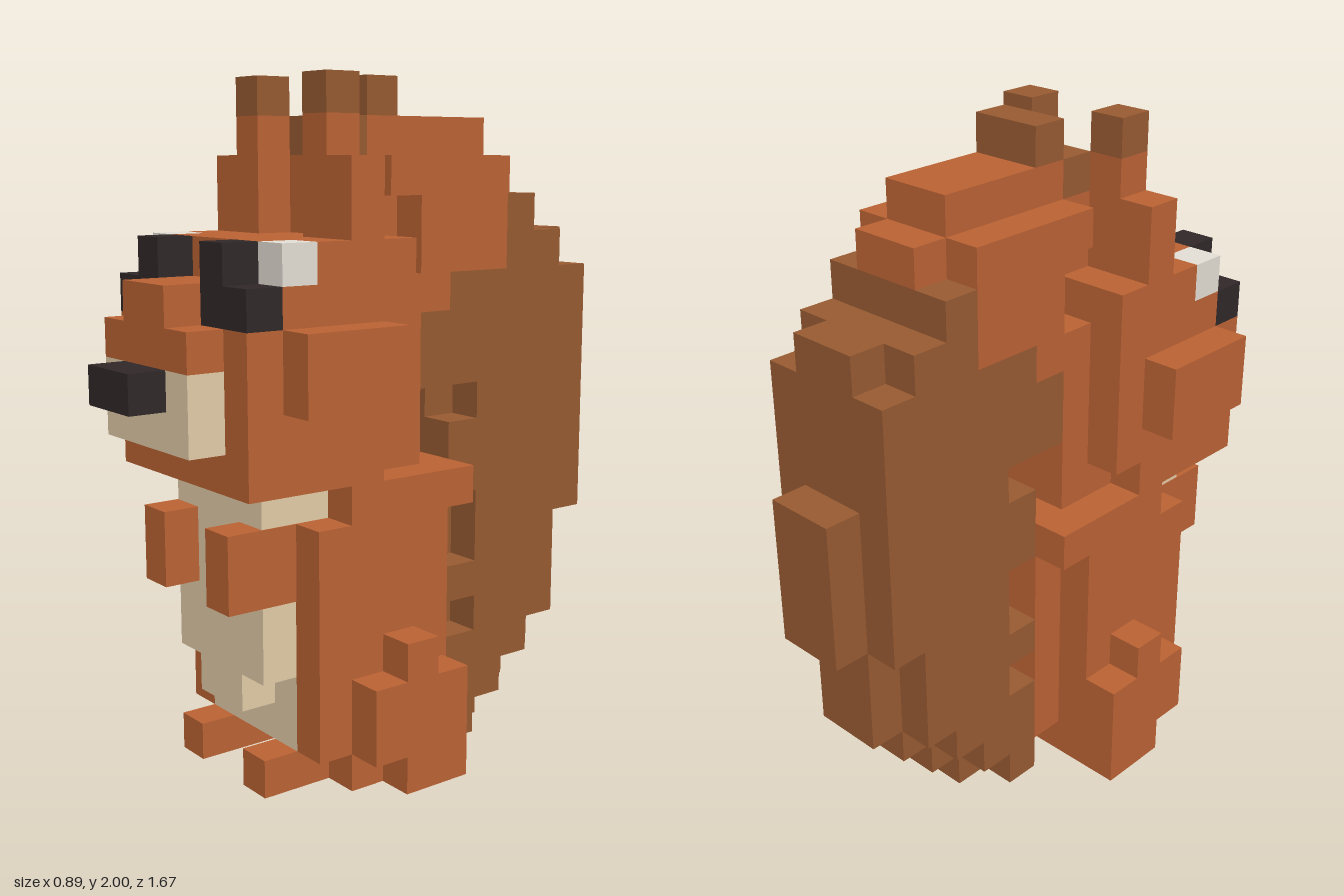
import * as THREE from 'three';

// One block is 1/9 unit; all coordinates below are in blocks.
const U = 1 / 9;

function material(name, color) {
  const m = new THREE.MeshStandardMaterial({ color });
  m.name = name;
  return m;
}

export function createModel() {
  const model = new THREE.Group();
  model.name = 'squirrel';
  const orange = material('orange fur', 0xbc6334);
  const brown = material('brown fur', 0x985b32);
  const cream = material('cream fur', 0xe4cda9);
  const dark = material('dark', 0x302829);
  const white = material('eye white', 0xe5e0d6);

  function box(name, mat, x0, x1, y0, y1, z0, z1) {
    const geo = new THREE.BoxGeometry((x1 - x0) * U, (y1 - y0) * U, (z1 - z0) * U);
    const mesh = new THREE.Mesh(geo, mat);
    mesh.name = name;
    mesh.position.set((x0 + x1) / 2 * U, (y0 + y1) / 2 * U, (z0 + z1) / 2 * U);
    model.add(mesh);
  }
  // Box centred on x = 0 with half width w
  const mid = (name, mat, w, ...r) => box(name, mat, -w, w, ...r);
  // Mirrored pair of boxes
  const pair = (name, mat, x0, x1, ...r) => {
    box(name + 'Left', mat, x0, x1, ...r);
    box(name + 'Right', mat, -x1, -x0, ...r);
  };

  // Body with cream belly
  mid('body', orange, 2, 1, 8, -1.5, 2.5);
  pair('flank', orange, 2, 3, 1, 7, -0.5, 3.5);
  pair('shoulder', orange, 2, 3, 7, 8, -1.5, 2.5);
  mid('bellyBase', cream, 2, 1, 8, 2.5, 3.5);
  mid('belly', cream, 2, 3, 8, 3.5, 4.5);
  mid('bellyLower', cream, 1, 2, 3, 3.5, 4.5);
  pair('arm', orange, 1, 2, 5, 7, 4.5, 5.5);
  pair('armSide', orange, 2, 2.03, 5, 7, 3.5, 5.5);

  // Legs and feet
  pair('foot', orange, 1, 2, 0, 1, -0.5, 4.5);
  pair('heel', orange, 2, 3, 0, 1, -0.5, 2.5);
  pair('ankle', orange, 3, 4, 0, 1, -0.5, 1.5);
  pair('thigh', orange, 3, 4, 1, 3, -0.5, 2.5);
  pair('thighTop', orange, 3, 4, 3, 4, 0.5, 1.5);

  // Head
  mid('neck', orange, 2, 8, 13, -0.5, 1.5);
  mid('chin', orange, 3, 8, 9, 1.5, 5.5);
  mid('head', orange, 3, 9, 12, 0.5, 5.5);
  mid('brow', orange, 3, 12, 13, 0.5, 4.5);
  mid('crown', orange, 2, 13, 14, 0.5, 4.5);
  pair('temple', orange, 2, 3, 13, 14, 0.5, 3.5);
  pair('cheek', orange, 3, 4, 10, 12, 1.5, 4.5);
  mid('noseBridge', orange, 1, 12, 13, 4.5, 6.5);
  mid('muzzleTop', orange, 2, 11, 12, 5.5, 6.5);
  mid('muzzle', cream, 2, 9, 11, 5.5, 6.5);
  mid('nose', dark, 1, 10, 11, 6.5, 7.5);

  // Eyes
  pair('eyeLower', dark, 1, 3, 12, 13, 4.5, 5.5);
  pair('eyeUpper', dark, 1, 2, 13, 14, 4.5, 5.5);
  pair('eyeWhite', white, 2, 3, 13, 14, 3.5, 4.5);

  // Ears
  pair('ear', orange, 1, 2, 14, 17, 1.5, 2.5);
  pair('earSide', orange, 2, 3, 14, 16, 1.5, 2.5);
  pair('earTip', brown, 1, 2, 17, 18, 1.5, 2.5);

  // Tail, slice by slice; each slice ends one block lower in its middle
  mid('tailRoot', brown, 1, 0, 1, -1.5, -0.5);
  mid('tailInner', brown, 1, 0, 13, -2.5, -1.5);
  for (const [y0, y1] of [[0, 3], [4, 5], [7, 9], [10, 13]])
    pair('tailInnerEdge', brown, 1, 2, y0, y1, -2.5, -1.5);
  mid('tailNeck', brown, 2, 10, 12, -1.5, -0.5);
  for (const [bottom, step, top, z] of [[0, 1, 13, -3.5], [1, 2, 15, -4.5], [2, 3, 14, -5.5], [3, 6, 13, -6.5]]) {
    mid('tail', brown, 2, step, top, z, z + 1);
    mid('tailUnderside', brown, 1, bottom, step, z, z + 1);
  }
  mid('tailBackTop', brown, 1, 13, 14, -6.5, -5.5);
  mid('tailBack', brown, 1, 6, 10, -7.5, -6.5);

  // Tail curling over the head
  mid('curlBase', orange, 2, 12, 13, -1.5, -0.5);
  mid('curl', orange, 2, 13, 15, -3.5, -0.5);
  mid('curlUpper', orange, 2, 15, 16, -3.5, 0.5);
  mid('curlTop', orange, 1, 16, 17, -3.5, 0.5);
  mid('curlBack', orange, 1, 15, 16, -4.5, -3.5);
  mid('curlInner', orange, 1, 13, 15, -0.5, 0.5);
  mid('curlFront', orange, 1, 14, 16, 0.5, 1.5);
  mid('tailTip', brown, 1, 17, 18, -0.5, 0.5);
  mid('tailTipFront', brown, 1, 16, 17, 0.5, 1.5);

  return model;
}
